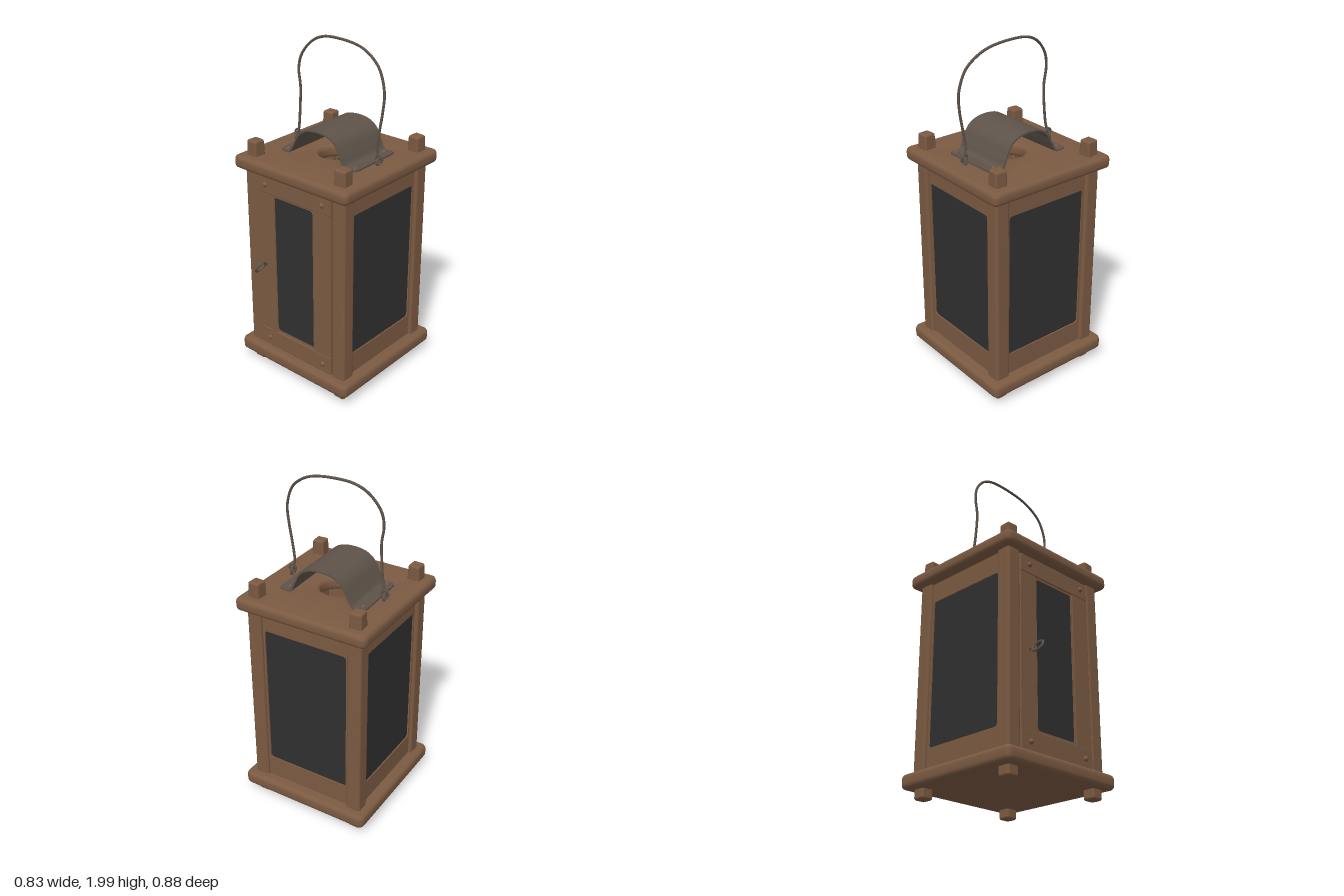
import * as THREE from 'three';
import { toCreasedNormals } from 'three/addons/utils/BufferGeometryUtils.js';
import { RoundedBoxGeometry } from 'three/addons/geometries/RoundedBoxGeometry.js';

const material = (name, color) => {
  const m = new THREE.MeshStandardMaterial({ color });
  m.name = name;
  return m;
};

const CZ = -0.025; // centre of the wooden body in z

export function createModel() {
  const wood = material('wood', 0x7b5a42);
  const glass = material('dark glass', 0x303031);
  const metal = material('aged metal', 0x5e534a);
  const model = new THREE.Group();
  model.name = 'lantern';

  const add = (name, geometry, mat, x = 0, y = 0, z = 0, parent = model) => {
    const mesh = new THREE.Mesh(geometry, mat);
    mesh.name = name;
    mesh.position.set(x, y, z);
    parent.add(mesh);
    return mesh;
  };

  // Board given by its limits
  const board = (name, x0, x1, y0, y1, z0, z1, r = 0.012, parent = model) =>
    add(name, new RoundedBoxGeometry(x1 - x0, y1 - y0, z1 - z0, 3, r), wood,
      (x0 + x1) / 2, (y0 + y1) / 2, (z0 + z1) / 2, parent);

  const roundedRect = (target, x0, x1, y0, y1, r) => {
    target.moveTo(x0 + r, y0);
    target.lineTo(x1 - r, y0);
    target.absarc(x1 - r, y0 + r, r, -Math.PI / 2, 0);
    target.lineTo(x1, y1 - r);
    target.absarc(x1 - r, y1 - r, r, 0, Math.PI / 2);
    target.lineTo(x0 + r, y1);
    target.absarc(x0 + r, y1 - r, r, Math.PI / 2, Math.PI);
    target.lineTo(x0, y0 + r);
    target.absarc(x0 + r, y0 + r, r, Math.PI, Math.PI * 1.5);
    return target;
  };

  // Base and roof slabs with rounded edges; the roof has a smoke hole
  const slab = (name, y0, y1, holeRadius) => {
    const shape = roundedRect(new THREE.Shape(), -0.413, 0.413, -0.413, 0.413, 0.035);
    if (holeRadius) shape.holes.push(new THREE.Path().absarc(0, 0, holeRadius, 0, Math.PI * 2, true));
    const b = 0.026;
    const g = new THREE.ExtrudeGeometry(shape, {
      depth: y1 - y0 - 2 * b, bevelThickness: b, bevelSize: b, bevelOffset: -b,
      bevelSegments: 4, curveSegments: 12,
    });
    g.translate(0, 0, b);
    g.rotateX(-Math.PI / 2);
    add(name, toCreasedNormals(g, 0.8), wood, 0, y0, CZ);
  };
  slab('baseSlab', 0.063, 0.147, 0);
  slab('roofSlab', 1.275, 1.352, 0.1);

  // Corner posts with feet below and tapered stubs above
  for (const sx of [-1, 1]) for (const sz of [-1, 1]) {
    const x = sx * 0.32, z = CZ + sz * 0.319;
    const h = 0.045;
    board('cornerPost', x - h, x + h, 0.13, 1.29, z - h, z + h, 0.016);
    board('foot', x - 0.038, x + 0.038, 0.006, 0.09, z - 0.038, z + 0.038, 0.014);
    const stub = new RoundedBoxGeometry(0.08, 0.14, 0.08, 3, 0.013);
    const p = stub.attributes.position;
    for (let i = 0; i < p.count; i++) {
      const k = 1 - 0.9 * (p.getY(i) + 0.07);
      p.setX(i, p.getX(i) * k);
      p.setZ(i, p.getZ(i) * k);
    }
    add('postStub', stub, wood, x, 1.37, z).rotation.y = 0.06 * sx * sz;
  }

  // Framed window for the two sides and the back
  const windowPanel = (name, x, z, angle) => {
    const group = new THREE.Group();
    group.name = name;
    group.position.set(x, 0, z);
    group.rotation.y = angle;
    model.add(group);
    const shape = roundedRect(new THREE.Shape(), -0.29, 0.29, 0.13, 1.29, 0.005);
    shape.holes.push(roundedRect(new THREE.Path(), -0.263, 0.263, 0.278, 1.156, 0.02));
    const frame = new THREE.ExtrudeGeometry(shape, { depth: 0.03, bevelEnabled: false });
    add('windowFrame', toCreasedNormals(frame, 0.6), wood, 0, 0, -0.03, group);
    add('windowPane', new THREE.BoxGeometry(0.54, 0.89, 0.008), glass, 0, 0.717, -0.012, group);
  };
  windowPanel('leftWindow', 0.345, CZ, Math.PI / 2);
  windowPanel('rightWindow', -0.345, CZ, -Math.PI / 2);
  windowPanel('backWindow', 0, CZ - 0.345, Math.PI);

  // Door: two rails, two stiles and a narrow pane
  const door = new THREE.Group();
  door.name = 'door';
  model.add(door);
  board('doorBottomRail', -0.277, 0.272, 0.15, 0.266, 0.3, 0.343, 0.006, door);
  board('doorTopRail', -0.277, 0.272, 1.16, 1.266, 0.3, 0.343, 0.006, door);
  board('doorHingeStile', 0.145, 0.272, 0.262, 1.164, 0.3, 0.341, 0.005, door);
  board('doorLatchStile', -0.277, -0.152, 0.262, 1.164, 0.3, 0.341, 0.005, door);
  board('doorLintel', -0.28, 0.28, 1.255, 1.29, 0.29, 0.325, 0.005, door);
  const insert = roundedRect(new THREE.Shape(), -0.155, 0.148, 0.26, 1.165, 0.003);
  insert.holes.push(roundedRect(new THREE.Path(), -0.147, 0.138, 0.278, 1.15, 0.018));
  add('doorGlazingBead', new THREE.ExtrudeGeometry(insert, { depth: 0.02, bevelEnabled: false }),
    wood, 0, 0, 0.316, door);
  add('doorPane', new THREE.BoxGeometry(0.296, 0.89, 0.008), glass, -0.004, 0.714, 0.327, door);

  // Wooden pegs in the door corners
  for (const x of [-0.208, 0.213]) for (const y of [0.205, 1.215]) {
    const peg = new THREE.SphereGeometry(0.016, 14, 8, 0, Math.PI * 2, 0, Math.PI / 2);
    peg.rotateX(Math.PI / 2);
    add('doorPeg', peg, wood, x, y, 0.342, door);
  }

  // Ring pull
  const pull = new THREE.Group();
  pull.name = 'ringPull';
  pull.position.set(-0.21, 0.712, 0.4);
  pull.rotation.z = -0.5;
  model.add(pull);
  add('ring', new THREE.TorusGeometry(0.035, 0.007, 8, 28), metal, 0, 0, 0, pull).rotation.y = Math.PI / 2;
  const stem = add('ringStem', new THREE.CylinderGeometry(0.007, 0.007, 0.03, 8), metal, 0, 0, -0.05, pull);
  stem.rotation.x = Math.PI / 2;

  // Bent sheet over the smoke hole: a thin box laid along a curve
  const hood = new THREE.Group();
  hood.name = 'smokeHood';
  hood.position.set(0, 0, -0.03);
  hood.rotation.y = 0.03;
  model.add(hood);
  const arch = new THREE.CatmullRomCurve3([
    [-0.27, 1.357], [-0.2, 1.358], [-0.17, 1.4], [-0.13, 1.47], [-0.08, 1.507], [0, 1.521],
    [0.08, 1.51], [0.13, 1.478], [0.165, 1.415], [0.195, 1.358], [0.27, 1.357],
  ].map(([x, y]) => new THREE.Vector3(x, y, 0)));
  const length = arch.getLength(), depth = 0.37, corner = 0.03;
  const sheet = new THREE.BoxGeometry(1, 0.01, depth, 90, 1, 1);
  const sp = sheet.attributes.position;
  for (let i = 0; i < sp.count; i++) {
    const u = THREE.MathUtils.clamp(sp.getX(i) + 0.5, 0, 1);
    const c = arch.getPointAt(u), t = arch.getTangentAt(u), side = sp.getY(i);
    const inset = Math.max(0, corner - Math.min(u, 1 - u) * length);
    const cut = corner - Math.sqrt(corner * corner - inset * inset);
    sp.setXYZ(i, c.x - t.y * side, c.y + t.x * side, Math.sign(sp.getZ(i)) * (depth / 2 - cut));
  }
  sheet.computeVertexNormals();
  add('hoodSheet', sheet, metal, 0, 0, 0, hood);
  for (const [x, z] of [[-0.24, -0.142], [0.222, -0.142], [-0.228, 0.155], [0.245, 0.152]]) {
    const rivet = new THREE.SphereGeometry(0.011, 12, 6, 0, Math.PI * 2, 0, Math.PI / 2);
    add('hoodRivet', rivet, wood, x, 1.361, z, hood);
  }

  // Wire handle, with a small eyelet and wrapped end on each side
  const wire = new THREE.CatmullRomCurve3([
    [-0.3, 1.385, -0.03], [-0.285, 1.44, -0.025], [-0.272, 1.56, -0.022], [-0.267, 1.68, -0.022],
    [-0.28, 1.78, -0.024], [-0.265, 1.86, -0.03], [-0.2, 1.945, -0.042], [-0.12, 1.985, -0.05],
    [0, 1.993, -0.052], [0.14, 1.976, -0.05], [0.22, 1.94, -0.044], [0.285, 1.88, -0.036],
    [0.325, 1.765, -0.028], [0.32, 1.66, -0.024], [0.3, 1.54, -0.024], [0.288, 1.44, -0.026],
    [0.3, 1.385, -0.03],
  ].map(p => new THREE.Vector3(...p)));
  add('wireHandle', new THREE.TubeGeometry(wire, 120, 0.0075, 8), metal);
  for (const s of [-1, 1]) {
    const eyelet = add('handleEyelet', new THREE.TorusGeometry(0.02, 0.007, 8, 20), metal, s * 0.3, 1.37, -0.028);
    eyelet.rotation.y = Math.PI / 2;
    const hook = add('handleHook', new THREE.TorusGeometry(0.02, 0.006, 8, 20), metal, s * 0.3, 1.392, -0.03);
    hook.rotation.y = 0.1;
  }

  return model;
}
